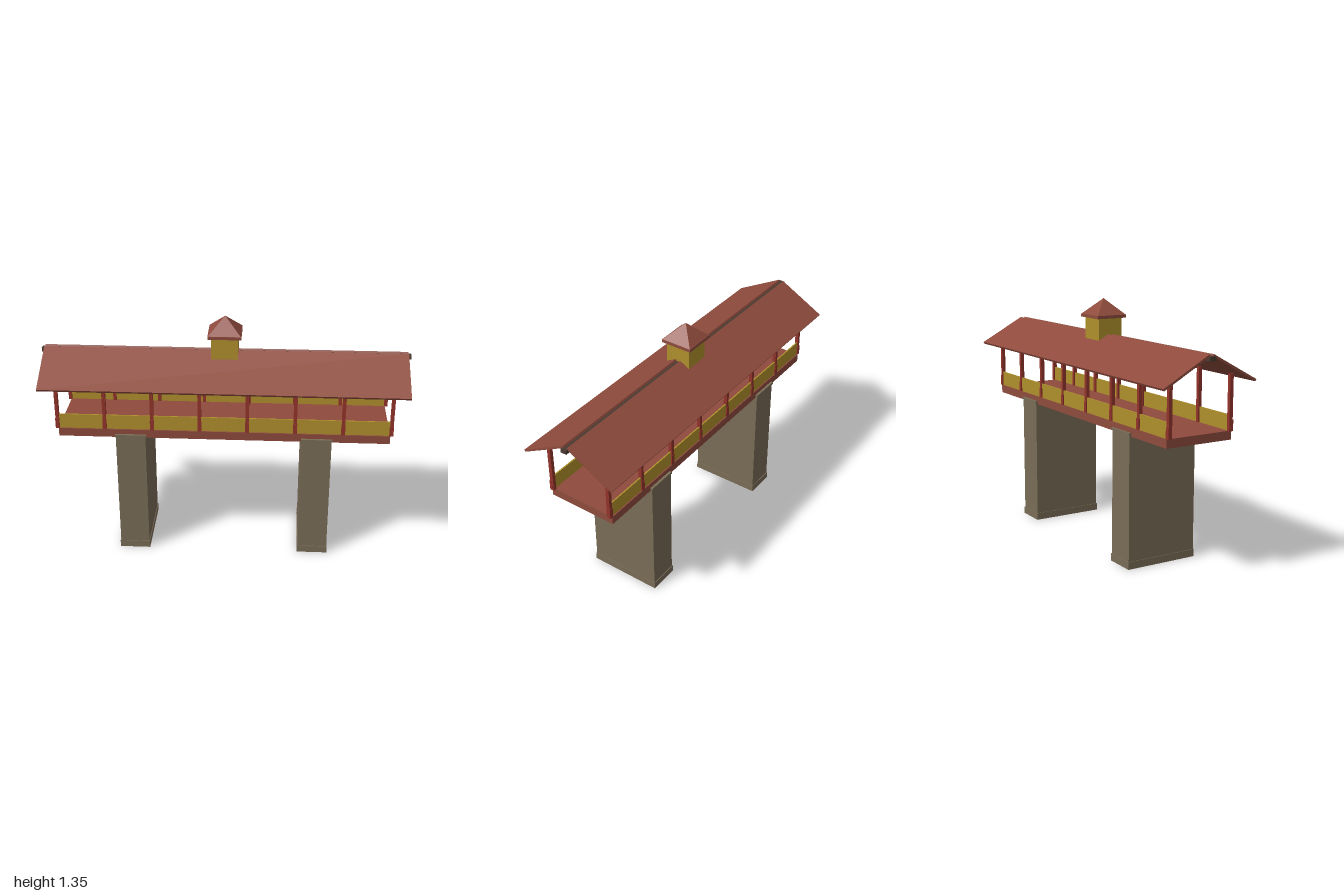
import * as THREE from 'three';

const mat = (name, color) => {
  const m = new THREE.MeshStandardMaterial({ color });
  m.name = name;
  return m;
};

export function createModel() {
  const model = new THREE.Group();
  model.name = 'coveredBridge';
  const stone = mat('stone', 0x7a6c56);
  const roofRed = mat('roofRed', 0x8f4b3d);
  const postRed = mat('postRed', 0x94342b);
  const ochre = mat('ochre', 0xb0902c);
  const darkWood = mat('darkWood', 0x4a3a30);

  const add = (name, geometry, material, x, y, z) => {
    const mesh = new THREE.Mesh(geometry, material);
    mesh.name = name;
    mesh.position.set(x, y, z);
    model.add(mesh);
    return mesh;
  };
  // Box given by its size, its bottom height and its centre in x and z
  const box = (name, material, w, h, d, x, y0, z) =>
    add(name, new THREE.BoxGeometry(w, h, d), material, x, y0 + h / 2, z);

  // Stone piers with a plinth and a thin cap
  for (const x of [-0.506, 0.506]) {
    box('pier', stone, 0.163, 0.71, 0.408, x, 0.005, 0);
    box('pierPlinth', stone, 0.17, 0.04, 0.416, x, 0, 0);
    box('pierCap', stone, 0.17, 0.012, 0.418, x, 0.711, 0);
  }

  // Walkway
  box('deck', roofRed, 1.8, 0.046, 0.39, 0, 0.704, 0);

  for (const side of [-1, 1]) {
    // Side panel and row of posts
    box('railPanel', ochre, 1.8, 0.087, 0.008, 0, 0.745, side * 0.184);
    for (let i = 0; i < 8; i++) {
      const x = -0.905 + (i * 1.81) / 7;
      box('post', postRed, 0.019, 0.287, 0.02, x, 0.75, side * 0.182);
      box('postFoot', postRed, 0.022, 0.058, 0.014, x, 0.75, side * 0.188);
    }

    // Sloping roof plane between ridge and eave
    const dz = 0.262, dy = 0.142;
    const slope = add('roofSlope',
      new THREE.BoxGeometry(1.972, 0.012, Math.hypot(dz, dy)), roofRed, 0, 1.08, side * 0.142);
    slope.rotation.x = side * Math.atan2(dy, dz);
  }
  box('ridgeBeam', darkWood, 2, 0.022, 0.034, 0, 1.125, 0);

  // Roof lantern with a pyramid cap
  box('lantern', ochre, 0.144, 0.145, 0.144, 0, 1.1, 0);
  box('lanternEave', roofRed, 0.18, 0.017, 0.18, 0, 1.244, 0);
  const pyramid = new THREE.ConeGeometry(0.088 * Math.SQRT2, 0.087, 4, 1).toNonIndexed();
  pyramid.rotateY(Math.PI / 4);
  pyramid.computeVertexNormals();
  add('lanternRoof', pyramid, roofRed, 0, 1.261 + 0.0435, 0);

  return model;
}
